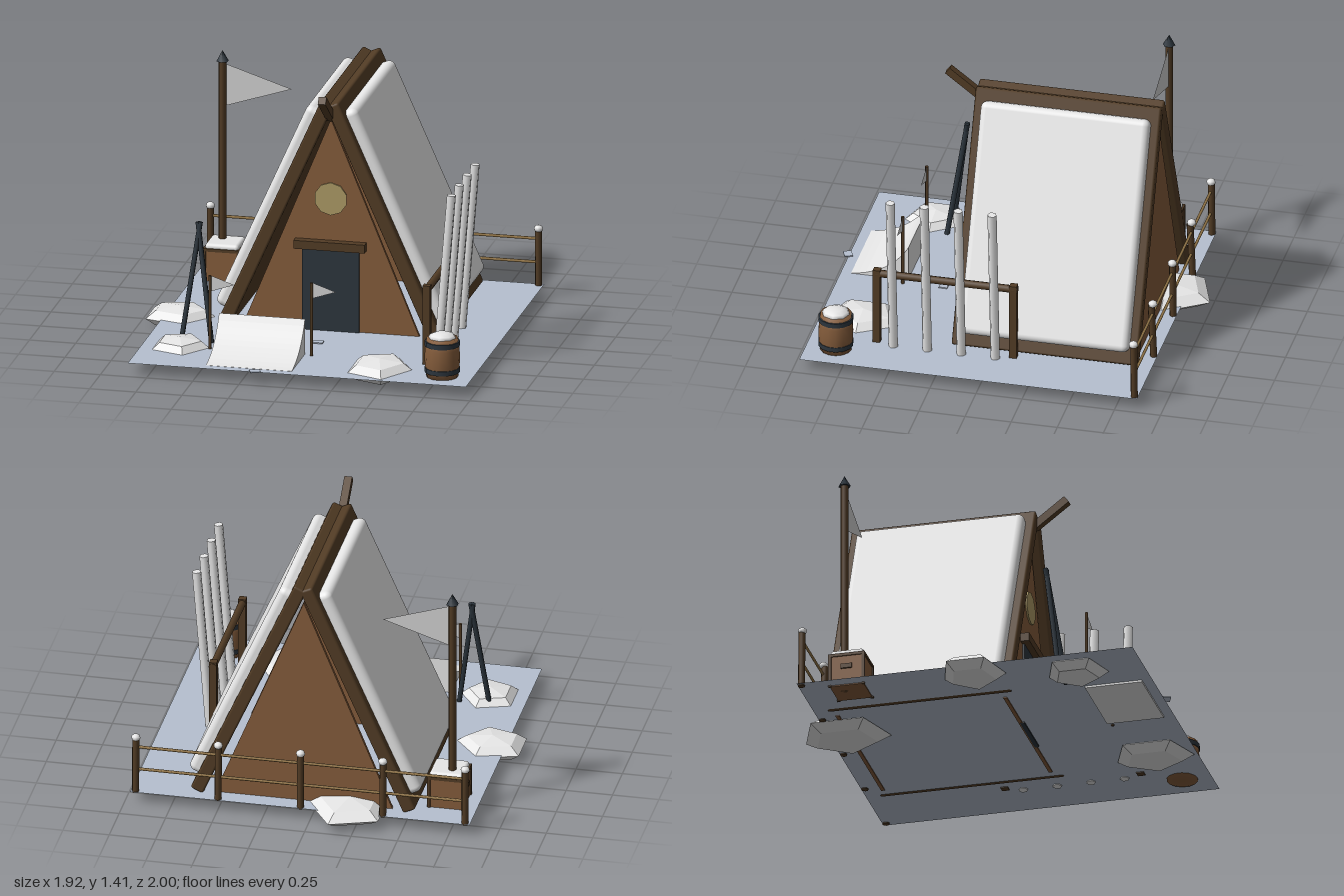
import * as THREE from 'three';
import { RoundedBoxGeometry } from 'three/addons/geometries/RoundedBoxGeometry.js';

const mat = (name, color) => {
  const m = new THREE.MeshStandardMaterial({ color });
  m.name = name;
  return m;
};

export function createModel() {
  const model = new THREE.Group();
  model.name = 'snowyCabin';
  const snow = mat('snow', 0xe9e9e9), ice = mat('frozenGround', 0xb6c0d0);
  const timber = mat('darkTimber', 0x523c25), plank = mat('warmPlank', 0x845c3b);
  const iron = mat('darkIron', 0x2c353d), glass = mat('windowGlow', 0xad9a66);
  const rope = mat('rope', 0x97794a), cloth = mat('flagCloth', 0xd2d2d2);
  const flatSnow = mat('packedSnow', 0xe6e6e6);
  flatSnow.flatShading = true;
  cloth.side = ice.side = THREE.DoubleSide;

  const add = (name, geo, material, x = 0, y = 0, z = 0, parent = model) => {
    const m = new THREE.Mesh(geo, material);
    m.name = name;
    m.position.set(x, y, z);
    parent.add(m);
    return m;
  };
  const box = (name, w, h, d, material, x, y, z, parent) =>
    add(name, new THREE.BoxGeometry(w, h, d), material, x, y, z, parent);
  // Round rod between two points
  const rod = (name, a, b, r, material, sides = 8) => {
    const p = new THREE.Vector3(...a), q = new THREE.Vector3(...b);
    const dir = q.clone().sub(p);
    const m = add(name, new THREE.CylinderGeometry(r, r, dir.length(), sides), material);
    m.position.copy(p).add(q).multiplyScalar(0.5);
    m.quaternion.setFromUnitVectors(new THREE.Vector3(0, 1, 0), dir.normalize());
    return m;
  };
  const polygon = (points) => new THREE.ShapeGeometry(new THREE.Shape(points.map((p) => new THREE.Vector2(...p))));

  // Ground sheet and loose ice chips
  const ground = add('ground', new THREE.PlaneGeometry(1.83, 1.83), ice, 0.055, 0.066, 0.05);
  ground.rotation.x = -Math.PI / 2;
  [[0.04, 0.4], [-0.37, 0.27], [-0.17, 0.97]].forEach(([x, z], i) => {
    box('iceChip', 0.055, 0.006, 0.045, ice, x, 0.073, z).rotation.y = 0.2 * i;
  });

  // A-frame cabin
  const cx = 0.055, lean = THREE.MathUtils.degToRad(24);
  for (const side of [-1, 1]) {
    const roof = new THREE.Group();
    roof.name = side > 0 ? 'roofLeft' : 'roofRight';
    roof.position.set(cx + side * 0.294, 0.699, -0.288);
    roof.rotation.z = side * lean;
    model.add(roof);
    add('roofSlab', new RoundedBoxGeometry(0.072, 1.375, 1.005, 1, 0.012), timber, 0, 0, 0, roof);
    add('roofSnow', new RoundedBoxGeometry(0.09, 1.24, 0.915, 4, 0.035), snow, side * 0.05, 0, 0, roof);
  }
  const gable = new THREE.ExtrudeGeometry(new THREE.Shape([
    new THREE.Vector2(-0.48, 0.06), new THREE.Vector2(0.48, 0.06), new THREE.Vector2(0, 1.235),
  ]), { depth: 0.02, bevelEnabled: false });
  add('frontWall', gable, plank, cx, 0, 0.148);
  add('backWall', gable, plank, cx, 0, -0.765);
  box('door', 0.31, 0.465, 0.024, iron, cx, 0.29, 0.168);
  box('doorLintel', 0.385, 0.046, 0.06, timber, cx, 0.542, 0.185);
  add('roundWindow', new THREE.CylinderGeometry(0.09, 0.09, 0.009, 10).rotateX(Math.PI / 2), glass, cx, 0.795, 0.172);
  box('ridgeBeam', 0.042, 0.042, 0.26, timber, cx, 1.322, 0.27).rotation.x = -0.65;

  // Triangular pennant flying toward +x
  const pennant = (x, y, z, len, half) =>
    add('pennant', polygon([[0, -half], [len, 0], [0, half]]), cloth, x, y, z);

  // Tall flagpole
  rod('flagpole', [-0.72, 0.06, -0.64], [-0.72, 1.26, -0.64], 0.021, timber);
  add('flagpoleTip', new THREE.ConeGeometry(0.034, 0.06, 6), iron, -0.72, 1.28, -0.64);
  pennant(-0.7, 1.12, -0.64, 0.355, 0.115);

  // Slalom gate flags
  for (const x of [-0.495, 0.055]) {
    rod('gatePole', [x, 0.06, 0.62], [x, 0.47, 0.62], 0.009, timber, 6);
    pennant(x + 0.007, 0.427, 0.62, 0.125, 0.043);
  }

  // Crate with snow cap, corner trim and handles
  box('crate', 0.185, 0.18, 0.185, plank, -0.698, 0.15, -0.61);
  for (const sx of [-1, 1]) {
    for (const sz of [-1, 1]) {
      box('crateCorner', 0.016, 0.185, 0.016, timber, -0.698 + sx * 0.091, 0.15, -0.61 + sz * 0.091);
    }
    box('crateHandle', 0.012, 0.025, 0.06, timber, -0.698 + sx * 0.097, 0.17, -0.61);
    box('crateRim', 0.016, 0.016, 0.198, timber, -0.698 + sx * 0.091, 0.238, -0.61);
    box('crateRim', 0.198, 0.016, 0.016, timber, -0.698, 0.238, -0.61 + sx * 0.091);
  }
  add('crateSnow', new RoundedBoxGeometry(0.182, 0.04, 0.182, 3, 0.018), snow, -0.698, 0.25, -0.61);

  // Barrel
  const v = (x, y) => new THREE.Vector2(x, y);
  add('barrel', new THREE.LatheGeometry([v(0, 0), v(0.083, 0), v(0.091, 0.06), v(0.094, 0.11),
    v(0.091, 0.16), v(0.083, 0.22), v(0, 0.22)], 14), plank, 0.806, 0.06, 0.805);
  for (const y of [0.105, 0.25]) {
    add('barrelBand', new THREE.CylinderGeometry(0.094, 0.094, 0.026, 14), iron, 0.806, y, 0.805);
  }
  const cap = add('barrelSnow', new THREE.SphereGeometry(0.075, 8, 6), snow, 0.806, 0.28, 0.805);
  cap.scale.y = 0.4;

  // Ski rack with leaning poles
  for (const z of [0.612, -0.128]) box('rackPost', 0.04, 0.44, 0.04, timber, 0.678, 0.28, z);
  rod('rackRail', [0.678, 0.475, -0.15], [0.678, 0.475, 0.62], 0.021, timber);
  for (let i = 0; i < 4; i++) {
    const z = 0.515 - i * 0.184;
    rod('leaningSki', [0.715, 0.06, z], [0.788, 0.975, z], 0.025, snow, 6);
  }

  // Crossed ski poles
  rod('skiPole', [-0.675, 0.06, 0.515], [-0.592, 0.7, 0.425], 0.014, iron, 6);
  rod('skiPole', [-0.51, 0.06, 0.515], [-0.605, 0.7, 0.425], 0.014, iron, 6);

  // Back fence with rope rails and snow-capped posts
  for (let i = 0; i < 5; i++) {
    const x = -0.832 + i * 0.444;
    rod('fencePost', [x, 0.06, -0.845], [x, 0.37, -0.842 + (i % 2) * 0.01], 0.019, timber);
    const ball = add('postSnow', new THREE.SphereGeometry(0.025, 8, 6), snow, x, 0.38, -0.84);
    ball.scale.y = 0.8;
  }
  for (const y of [0.325, 0.195]) {
    rod('fenceRope', [-0.832, y, -0.84], [0.944, y, -0.84], 0.008, rope, 6);
  }

  // Curved snow ramp, profile drawn as (-z, y)
  const ramp = new THREE.Shape();
  ramp.moveTo(-0.91, 0.055);
  ramp.lineTo(-0.6, 0.055);
  ramp.lineTo(-0.6, 0.26);
  ramp.quadraticCurveTo(-0.7, 0.09, -0.91, 0.067);
  const rampGeo = new THREE.ExtrudeGeometry(ramp, { depth: 0.465, bevelEnabled: false, curveSegments: 10 });
  add('snowRamp', rampGeo.rotateY(Math.PI / 2), snow, -0.45, 0, 0);

  // Flattened snow drifts: x, z, radius x, radius z
  [[-0.785, 0.075, 0.2, 0.176], [-0.66, 0.61, 0.166, 0.171],
    [0.45, 0.74, 0.185, 0.22], [-0.195, -0.77, 0.225, 0.245]].forEach(([x, z, rx, rz]) => {
    const drift = add('snowDrift', new THREE.SphereGeometry(1, 5, 4).rotateY(Math.PI), flatSnow, x, 0.06, z);
    drift.scale.set(rx, 0.057, rz);
  });

  return model;
}
